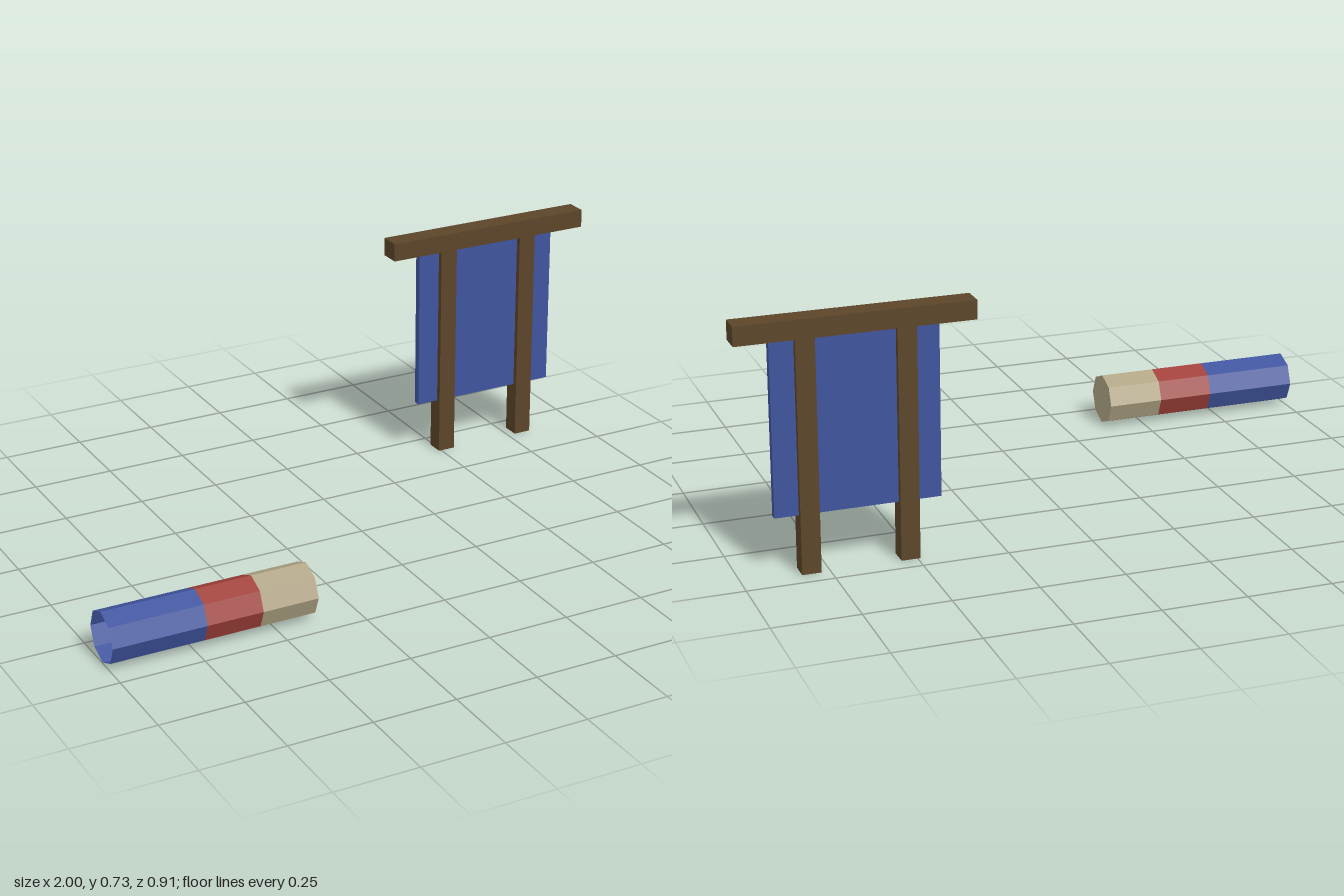
import * as THREE from 'three';

export function createModel() {
  const model = new THREE.Group();
  const mat = (name, color, side = THREE.FrontSide) =>
    new THREE.MeshStandardMaterial({ name, color, side, flatShading: true });
  const wood = mat('dark wood', 0x5c4529);
  const blue = mat('blue cloth', 0x3f549e, THREE.DoubleSide);
  const red = mat('red cloth', 0xa0403a, THREE.DoubleSide);
  const cream = mat('cream cloth', 0xb0a484, THREE.DoubleSide);

  const add = (parent, name, geometry, material, x, y, z) => {
    const mesh = new THREE.Mesh(geometry, material);
    mesh.name = name;
    mesh.position.set(x, y, z);
    parent.add(mesh);
    return mesh;
  };

  // Hanging rack: beam on two posts with a cloth panel between their faces
  const rack = new THREE.Group();
  rack.name = 'rack';
  rack.position.set(0.661, 0, -0.422);
  model.add(rack);
  add(rack, 'beam', new THREE.BoxGeometry(0.678, 0.056, 0.066), wood, 0, 0.706, 0);
  for (const side of [-1, 1]) {
    add(rack, side < 0 ? 'rightPost' : 'leftPost',
      new THREE.BoxGeometry(0.055, 0.678, 0.055), wood, side * 0.142, 0.339, 0);
  }
  add(rack, 'clothPanel', new THREE.BoxGeometry(0.476, 0.51, 0.022), blue, 0, 0.425, 0);

  // Eight-sided cloth roll lying along x, open at its right end
  const roll = new THREE.Group();
  roll.name = 'clothRoll';
  roll.position.set(0, 0.08, 0.379);
  model.add(roll);
  const radius = 0.078;
  const bands = [
    ['blueBand', blue, -1, -0.72],
    ['redBand', red, -0.72, -0.55],
    ['creamBand', cream, -0.55, -0.38],
  ];
  for (const [name, material, x0, x1] of bands) {
    const tube = new THREE.CylinderGeometry(radius, radius, x1 - x0, 8, 1, true);
    tube.rotateZ(-Math.PI / 2);
    add(roll, name, tube, material, (x0 + x1) / 2, 0, 0);
  }
  const cap = new THREE.CircleGeometry(radius, 8).rotateY(Math.PI / 2);
  add(roll, 'creamEnd', cap, cream, -0.38, 0, 0);

  return model;
}
